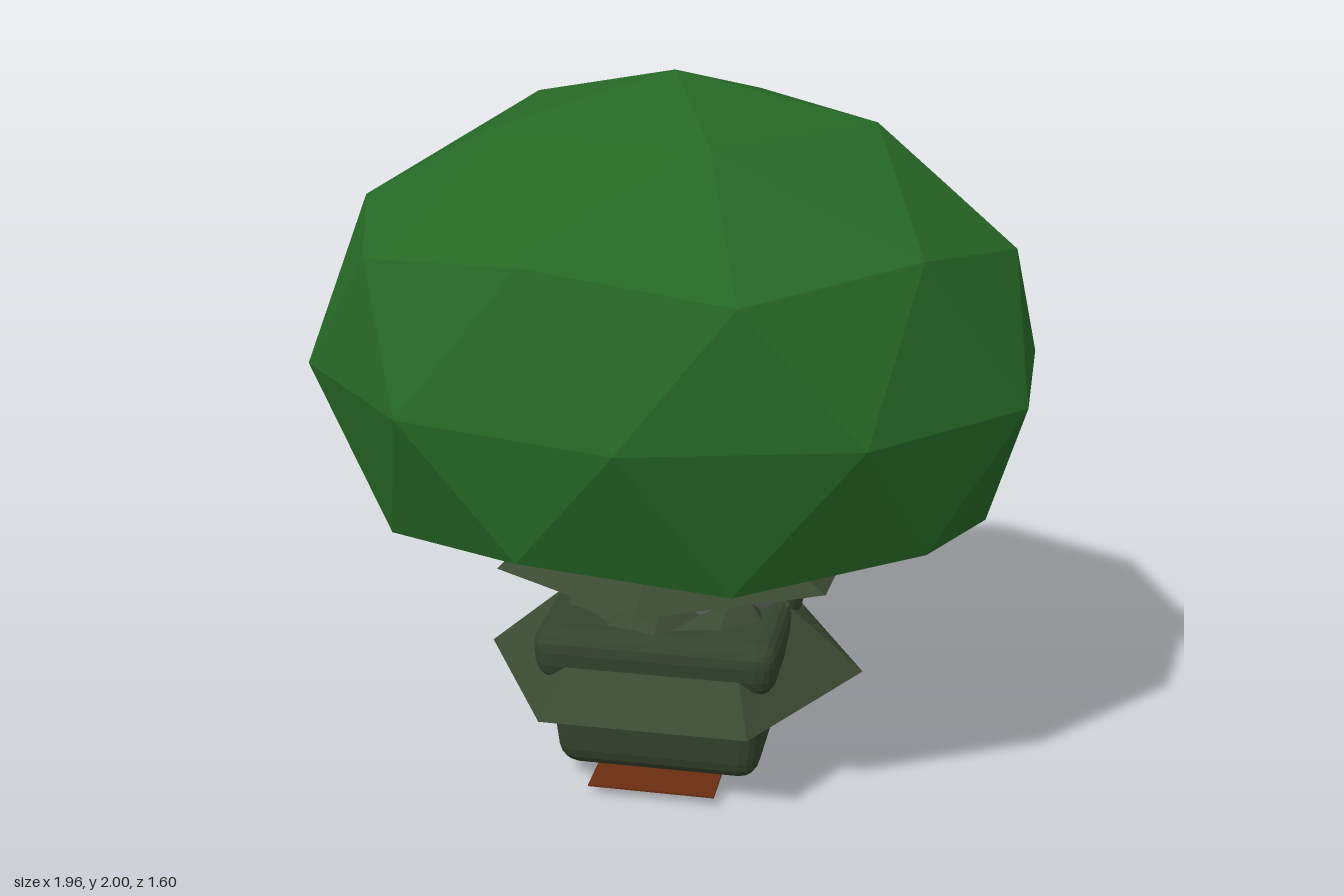
import * as THREE from 'three';
import { RoundedBoxGeometry } from 'three/addons/geometries/RoundedBoxGeometry.js';

const mat = (name, color, extra = {}) => {
  const m = new THREE.MeshStandardMaterial({ color, flatShading: true, ...extra });
  m.name = name;
  return m;
};

// Surface through rings of points; each ring runs from +x towards +z
function loft(rings) {
  const pos = [];
  const n = rings[0].length;
  for (let r = 0; r < rings.length - 1; r++) {
    for (let i = 0; i < n; i++) {
      const j = (i + 1) % n;
      const a = rings[r][i], b = rings[r][j], c = rings[r + 1][i], d = rings[r + 1][j];
      pos.push(...a, ...c, ...b, ...b, ...c, ...d);
    }
  }
  const g = new THREE.BufferGeometry();
  g.setAttribute('position', new THREE.Float32BufferAttribute(pos, 3));
  g.computeVertexNormals();
  return g;
}

// Moves every vertex by a rule
function bend(g, rule) {
  const p = g.attributes.position, v = new THREE.Vector3();
  for (let i = 0; i < p.count; i++) {
    v.fromBufferAttribute(p, i);
    rule(v);
    p.setXYZ(i, v.x, v.y, v.z);
  }
  return g;
}

export function createModel() {
  const group = new THREE.Group();
  const leaf = mat('leaf green', 0x266826);
  const roof = mat('roof green', 0x3c4a33, { side: THREE.DoubleSide });
  const pot = mat('pot green', 0x35432d);
  const stone = mat('stone grey', 0x626262);
  const wood = mat('branch brown', 0x5c3a24);
  const plank = mat('plank brown', 0x6b2e12);

  const add = (name, geo, material, x = 0, y = 0, z = 0) => {
    const m = new THREE.Mesh(geo, material);
    m.name = name;
    m.position.set(x, y, z);
    group.add(m);
    return m;
  };

  // Faceted canopy, pole upwards, its bottom pushed up into a hollow
  const canopy = new THREE.IcosahedronGeometry(1, 1);
  canopy.rotateZ(-Math.atan(2 / (1 + Math.sqrt(5))));
  bend(canopy, v => {
    if (v.y < -0.95) v.y = -0.3;
    else if (v.y < -0.7) v.y = -0.37;
    v.multiply(new THREE.Vector3(1.03, 0.8, 0.8));
  });
  canopy.computeVertexNormals();
  add('canopy', canopy, leaf, 0, 1.2, 0);

  // Tilted six-sided upper roof
  const hat = [[0.47, 0.64, 0.28], [0, 0.655, 0.56], [-0.45, 0.64, 0.28],
    [-0.46, 0.57, -0.22], [0, 0.54, -0.5], [0.48, 0.575, -0.22]];
  const hatTop = hat.map(([x, y, z]) => [x * 0.3, 0.67 * 0.93 + 0.33 * y, 0.07 + (z - 0.07) * 0.3]);
  add('upperRoof', loft([hat, hatTop, hat.map(() => [0, 0.93, 0.07])]), roof);

  // Six-sided lower roof with points at the sides
  const hexRing = (tipX, tipY, x, y, z) => [[tipX, tipY, 0], [x, y, z], [-x, y, z],
    [-tipX, tipY, 0], [-x, y, -z], [x, y, -z]];
  add('lowerRoof', loft([hexRing(0.55, 0.28, 0.29, 0.28, 0.475), hexRing(0.34, 0.46, 0.23, 0.42, 0.3)]), roof);

  // Jagged collar between pot and pillar
  const collar = (r, ys) => Array.from({ length: 12 }, (_, i) => {
    const a = (i / 12) * Math.PI * 2;
    return [Math.cos(a) * r * 1.08, ys[i % 2], Math.sin(a) * r];
  });
  add('collar', loft([collar(0.31, [0.47, 0.47]), collar(0.21, [0.51, 0.58])]), roof);

  // Stone pillar
  const pillar = new THREE.CylinderGeometry(0.22, 0.25, 0.26, 8);
  pillar.scale(1.2, 1, 0.92);
  add('pillar', pillar, stone, 0.02, 0.51, 0);

  // Pot: tapered rounded body and a wider rim
  const body = new RoundedBoxGeometry(0.64, 0.38, 0.64, 2, 0.06);
  bend(body, v => {
    const s = 0.95 + v.y * 0.3;
    v.x *= s;
    v.z *= s;
  });
  add('potBody', body, pot, 0, 0.23, 0);
  const rim = new RoundedBoxGeometry(0.7, 0.16, 0.7, 2, 0.06);
  bend(rim, v => {
    const s = 0.985 + v.y * 0.2;
    v.x *= s;
    v.z *= s;
  });
  add('potRim', rim, pot, 0, 0.405, 0);

  // Rough stones set into the back and sides of the pot
  const rocks = [[0.21, 0.18, -0.2, 0.17, 0.13, 0.21], [0.02, 0.19, -0.24, 0.17, 0.11, 0.12],
    [-0.22, 0.19, -0.1, 0.12, 0.11, 0.15]];
  rocks.forEach(([x, y, z, sx, sy, sz], k) => {
    const g = bend(new THREE.IcosahedronGeometry(1, 1), v => {
      const s = 1 + 0.12 * Math.sin(v.x * 7 + v.y * 5 + v.z * 9 + k * 2);
      v.multiplyScalar(s).multiply(new THREE.Vector3(sx, sy, sz));
    });
    g.computeVertexNormals();
    add('rock', g, stone, x, y, z);
  });

  // Branches reaching into the canopy
  const paths = [[[0.02, 0.66, -0.2], [0, 0.95, -0.46]], [[0, 0.7, 0.22], [-0.02, 0.95, 0.46]],
    [[-0.1, 0.75, 0.1], [-0.3, 0.95, 0.18]]];
  paths.forEach(([a, b]) => {
    const line = new THREE.LineCurve3(new THREE.Vector3(...a), new THREE.Vector3(...b));
    add('branch', new THREE.TubeGeometry(line, 1, 0.028, 6), wood);
  });

  // Base plank with a low mound and a round foot below
  add('basePlank', new THREE.BoxGeometry(0.36, 0.006, 0.72), plank, 0, 0.03, 0);
  const mound = new THREE.CylinderGeometry(0.17, 0.12, 0.016, 9);
  add('mound', mound, plank, -0.01, 0.019, -0.04);
  add('foot', new THREE.CylinderGeometry(0.11, 0.08, 0.012, 10), pot, -0.01, 0.006, -0.04);
  return group;
}
